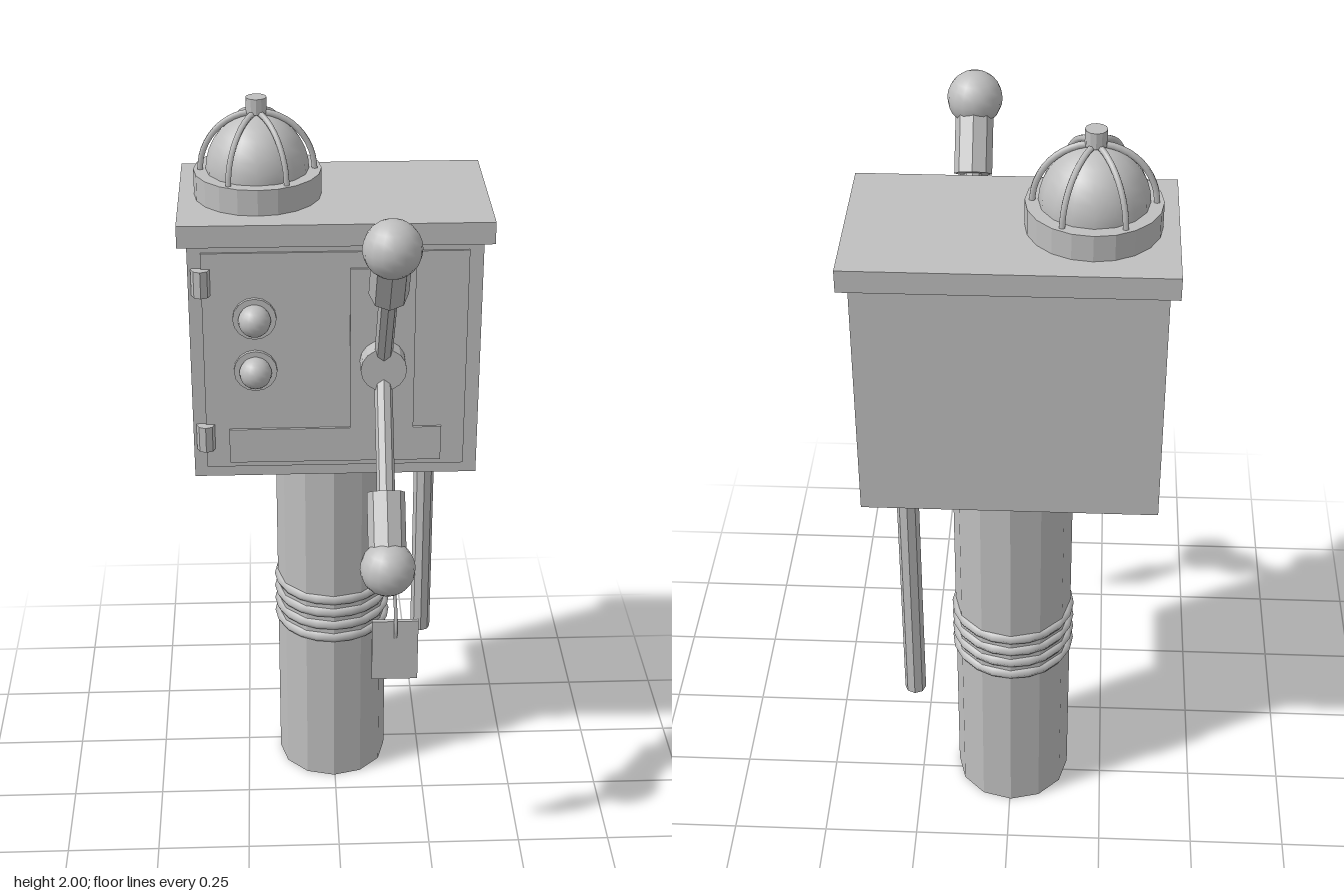
import * as THREE from 'three';

const grey = new THREE.MeshStandardMaterial({ color: 0xbfbfbf });
grey.name = 'light grey';

// Faceted normals for low-poly parts
function facet(geo) {
  const g = geo.index ? geo.toNonIndexed() : geo;
  g.computeVertexNormals();
  return g;
}

function add(parent, name, geo, x = 0, y = 0, z = 0) {
  const mesh = new THREE.Mesh(geo, grey);
  mesh.name = name;
  mesh.position.set(x, y, z);
  parent.add(mesh);
  return mesh;
}

// Box given by its limits on each axis
function block(parent, name, x0, x1, y0, y1, z0, z1) {
  return add(parent, name, new THREE.BoxGeometry(x1 - x0, y1 - y0, z1 - z0),
    (x0 + x1) / 2, (y0 + y1) / 2, (z0 + z1) / 2);
}

const drum = (r, h, sides) => facet(new THREE.CylinderGeometry(r, r, h, sides));

// Faceted cylinder running between two points
function bar(parent, name, a, b, r, sides) {
  const dir = b.clone().sub(a);
  const mesh = add(parent, name, drum(r, dir.length(), sides));
  mesh.position.copy(a).add(b).multiplyScalar(0.5);
  mesh.quaternion.setFromUnitVectors(new THREE.Vector3(0, 1, 0), dir.normalize());
  return mesh;
}

const v = (x, y, z) => new THREE.Vector3(x, y, z);

function buildPost() {
  const post = new THREE.Group();
  post.name = 'post';
  post.position.set(-0.003, 0, -0.214);
  add(post, 'pole', drum(0.153, 1.06, 12), 0, 0.53, 0);
  for (let i = 0; i < 4; i++) {
    const ring = new THREE.TorusGeometry(0.147, 0.015, 6, 20).rotateX(Math.PI / 2);
    add(post, 'poleRing', ring, 0, 0.48 + i * 0.041, 0);
  }
  return post;
}

function buildCabinet() {
  const cabinet = new THREE.Group();
  cabinet.name = 'cabinet';
  block(cabinet, 'cabinetBody', -0.367, 0.365, 1.05, 1.7, -0.382, 0.02);
  block(cabinet, 'lid', -0.39, 0.39, 1.693, 1.75, -0.409, 0.039);
  block(cabinet, 'door', -0.334, 0.33, 1.08, 1.673, 0.015, 0.026);

  // Raised plate shaped like an upside-down T
  const outline = [[-0.275, 1.095], [0.27, 1.095], [0.27, 1.19], [0.198, 1.19],
    [0.198, 1.63], [0.035, 1.63], [0.035, 1.19], [-0.275, 1.19]];
  const shape = new THREE.Shape(outline.map(([x, y]) => new THREE.Vector2(x, y)));
  add(cabinet, 'leverPlate',
    new THREE.ExtrudeGeometry(shape, { depth: 0.009, bevelEnabled: false }), 0, 0, 0.024);

  for (const y of [1.597, 1.168]) add(cabinet, 'hinge', drum(0.024, 0.07, 8), -0.335, y, 0.024);

  // Indicator lamps with round bezels
  for (const y of [1.5, 1.357]) {
    add(cabinet, 'lampBezel', drum(0.055, 0.02, 16).rotateX(Math.PI / 2), -0.204, y, 0.026);
    add(cabinet, 'lamp', new THREE.SphereGeometry(0.041, 16, 12), -0.204, y, 0.045);
  }
  bar(cabinet, 'conduit', v(0.258, 0.36, -0.298), v(0.258, 1.06, -0.298), 0.028, 8);
  return cabinet;
}

function buildBeacon() {
  const beacon = new THREE.Group();
  beacon.name = 'beacon';
  beacon.position.set(-0.19, 1.75, -0.184);
  add(beacon, 'beaconBase', drum(0.161, 0.066, 20), 0, 0.033, 0);
  const dome = new THREE.SphereGeometry(0.13, 16, 8, 0, Math.PI * 2, 0, Math.PI / 2);
  dome.scale(1, 1.1, 1);
  add(beacon, 'dome', dome, 0, 0.064, 0);

  // Six curved cage bars meeting under the cap
  const points = [];
  for (let i = 0; i <= 6; i++) {
    const a = (i / 6) * Math.PI / 2;
    points.push(v(0.144 * Math.cos(a), 0.06 + 0.153 * Math.sin(a), 0));
  }
  const rib = new THREE.TubeGeometry(new THREE.CatmullRomCurve3(points), 12, 0.008, 6);
  for (let i = 0; i < 6; i++) add(beacon, 'cageBar', rib).rotation.y = i * Math.PI / 3;
  add(beacon, 'beaconCap', drum(0.026, 0.04, 12), 0, 0.23, 0);
  return beacon;
}

function buildLevers() {
  const levers = new THREE.Group();
  levers.name = 'levers';
  levers.position.set(0.117, 1.379, 0);
  add(levers, 'hub', drum(0.058, 0.07, 16).rotateX(Math.PI / 2), 0, 0, 0.052);
  for (const s of [1, -1]) {
    const lever = new THREE.Group();
    lever.name = s > 0 ? 'upperLever' : 'lowerLever';
    const end = v(0, s * 0.427, 0.338), gripStart = v(0, s * 0.27, 0.228);
    bar(lever, 'rod', v(0, s * 0.027, 0.06), gripStart, 0.023, 8);
    bar(lever, 'grip', gripStart, end, 0.048, 8);
    add(lever, 'knob', new THREE.SphereGeometry(0.07, 16, 12)).position.copy(end);
    levers.add(lever);
  }
  return levers;
}

function buildTag() {
  const tag = new THREE.Group();
  tag.name = 'hangingTag';
  block(tag, 'tagPlate', 0.08, 0.198, 0.614, 0.79, 0.322, 0.333);
  const path = new THREE.CatmullRomCurve3([v(0.13, 0.91, 0.315), v(0.137, 0.86, 0.32),
    v(0.14, 0.8, 0.332), v(0.14, 0.765, 0.336), v(0.14, 0.74, 0.33)]);
  add(tag, 'tagString', new THREE.TubeGeometry(path, 12, 0.005, 6));
  return tag;
}

export function createModel() {
  const model = new THREE.Group();
  model.name = 'leverSwitchPost';
  model.add(buildPost(), buildCabinet(), buildBeacon(), buildLevers(), buildTag());
  return model;
}
